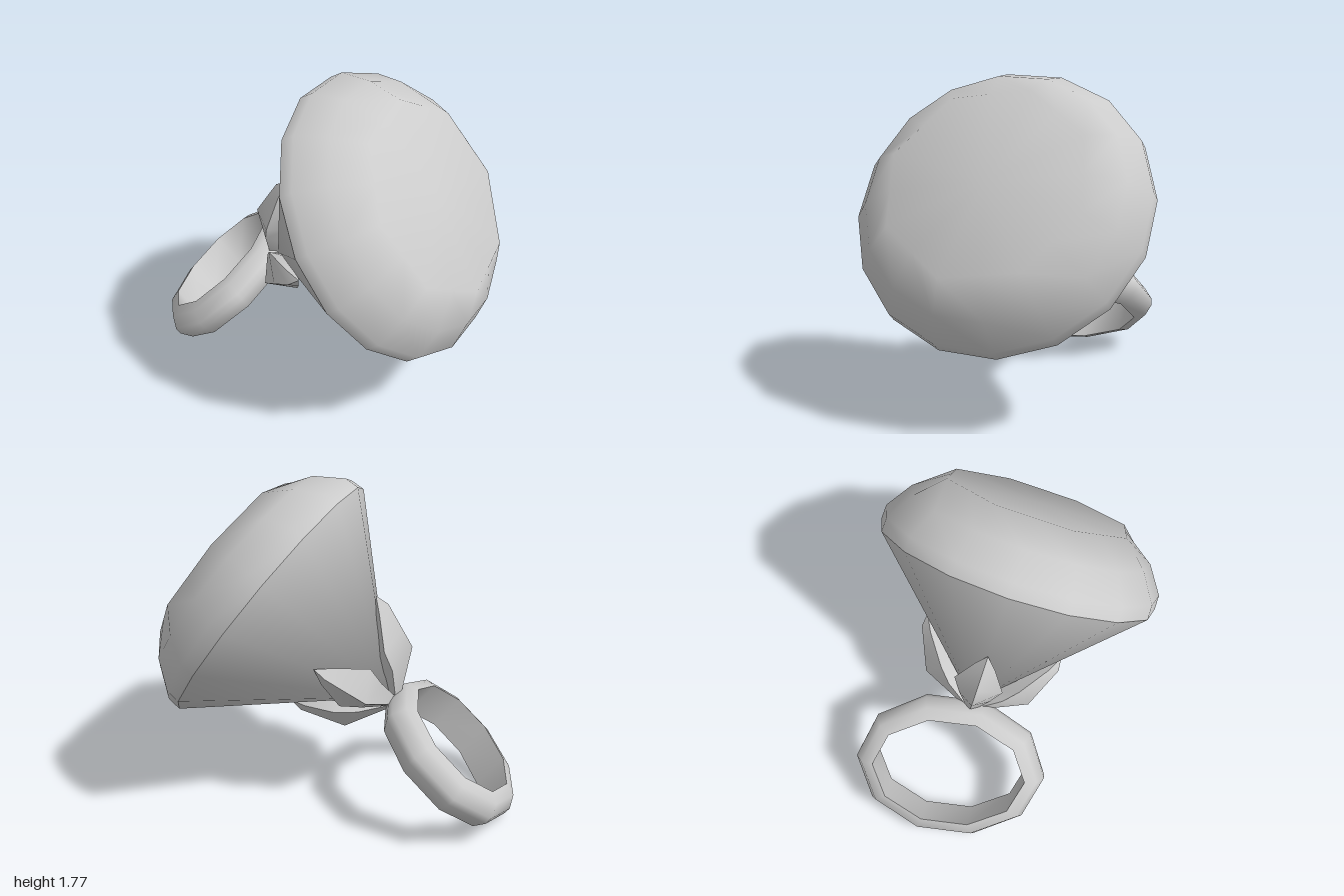
import * as THREE from 'three';
import { mergeVertices, toCreasedNormals } from 'three/addons/utils/BufferGeometryUtils.js';

const material = new THREE.MeshStandardMaterial({ color: 0xcccccc });

// Skin through rows of points; each row runs counter-clockwise about the y axis.
function loft(rows, closeRows, crease) {
  const n = rows[0].length;
  const index = [];
  for (let i = 0; i < rows.length - (closeRows ? 0 : 1); i++) {
    const up = (i + 1) % rows.length;
    for (let j = 0; j < n; j++) {
      const k = (j + 1) % n;
      index.push(i * n + j, i * n + k, up * n + k, i * n + j, up * n + k, up * n + j);
    }
  }
  const geometry = new THREE.BufferGeometry().setFromPoints(rows.flat());
  geometry.setIndex(index);
  return toCreasedNormals(geometry, crease);
}

function addMesh(parent, name, geometry) {
  const mesh = new THREE.Mesh(geometry, material);
  mesh.name = name;
  parent.add(mesh);
  return mesh;
}

// Group whose y axis points along the given direction, with z kept near the world z.
function orientedGroup(name, position, direction) {
  const y = direction.clone().normalize();
  const z = new THREE.Vector3(0, 0, 1).addScaledVector(y, -y.z).normalize();
  const x = new THREE.Vector3().crossVectors(y, z);
  const group = new THREE.Group();
  group.name = name;
  group.quaternion.setFromRotationMatrix(new THREE.Matrix4().makeBasis(x, y, z));
  group.position.copy(position);
  return group;
}

// Lathed part of the stone; the table ring is squared off to an octagon.
function stonePart(profile, tableY) {
  const geometry = new THREE.LatheGeometry(profile.map(p => new THREE.Vector2(...p)), 16);
  const pos = geometry.attributes.position;
  for (let i = 0; i < pos.count; i++) {
    const ring = Math.floor(i / profile.length);
    if (tableY && pos.getY(i) > tableY && ring % 2 === 0) {
      const s = Math.cos(Math.PI / 8);
      pos.setXYZ(i, pos.getX(i) * s, pos.getY(i), pos.getZ(i) * s);
    }
  }
  geometry.deleteAttribute('uv');
  geometry.deleteAttribute('normal');
  const merged = mergeVertices(geometry);
  merged.computeVertexNormals();
  return merged;
}

// Leaf-shaped prong: [height, outer, inner, side distance, half width].
function prongGeometry() {
  const sections = [
    [-0.06, 0.01, 0.01, 0.01, 0],
    [-0.03, 0.06, -0.02, 0.02, 0.03],
    [0.09, 0.31, 0.05, 0.16, 0.09],
    [0.19, 0.35, 0.12, 0.23, 0.14],
    [0.34, 0.41, 0.28, 0.35, 0.06],
    [0.42, 0.4, 0.4, 0.4, 0]
  ];
  const rows = sections.map(([y, outer, inner, side, w]) => [
    new THREE.Vector3(0, y, outer),
    new THREE.Vector3(w, y, side),
    new THREE.Vector3(0, y, inner),
    new THREE.Vector3(-w, y, side)
  ]);
  return loft(rows, false, 0.9);
}

// Oval band with a flat inside and a rounded outside: [radial offset, height].
function bandGeometry() {
  const profile = [[-0.11, -0.11], [-0.04, -0.09], [0, -0.02], [0, 0.02], [-0.04, 0.09], [-0.11, 0.11]];
  const rows = profile.map(([dr, y]) => Array.from({ length: 10 }, (_, j) => {
    const t = j / 10 * Math.PI * 2;
    return new THREE.Vector3(Math.sin(t) * (0.45 + dr), y, Math.cos(t) * (0.558 + dr));
  }));
  return loft(rows, true, 0.9);
}

export function createModel() {
  const model = new THREE.Group();
  model.name = 'gemRing';

  // Finger band
  const band = orientedGroup('bandGroup', new THREE.Vector3(-0.63, 0.31, -0.255), new THREE.Vector3(-0.645, 0.765, 0));
  addMesh(band, 'band', bandGeometry());
  model.add(band);

  // Cut stone, standing on its point
  const tip = new THREE.Vector3(-0.3, 0.57, -0.16);
  const stone = orientedGroup('stone', tip, new THREE.Vector3(0.675, 0.5, 0.18));
  const girdle = 0.86;
  addMesh(stone, 'pavilion', stonePart([[0, 0], [0.8, girdle]]));
  addMesh(stone, 'crown', stonePart([
    [0.8, girdle], [0.795, girdle + 0.08], [0.69, girdle + 0.23], [0.54, girdle + 0.36], [0, girdle + 0.36]
  ], girdle + 0.3));

  // Four prongs around the point
  const prong = prongGeometry();
  for (let i = 0; i < 4; i++) {
    addMesh(stone, 'prong' + (i + 1), prong).rotation.y = i * Math.PI / 2;
  }
  model.add(stone);
  return model;
}
